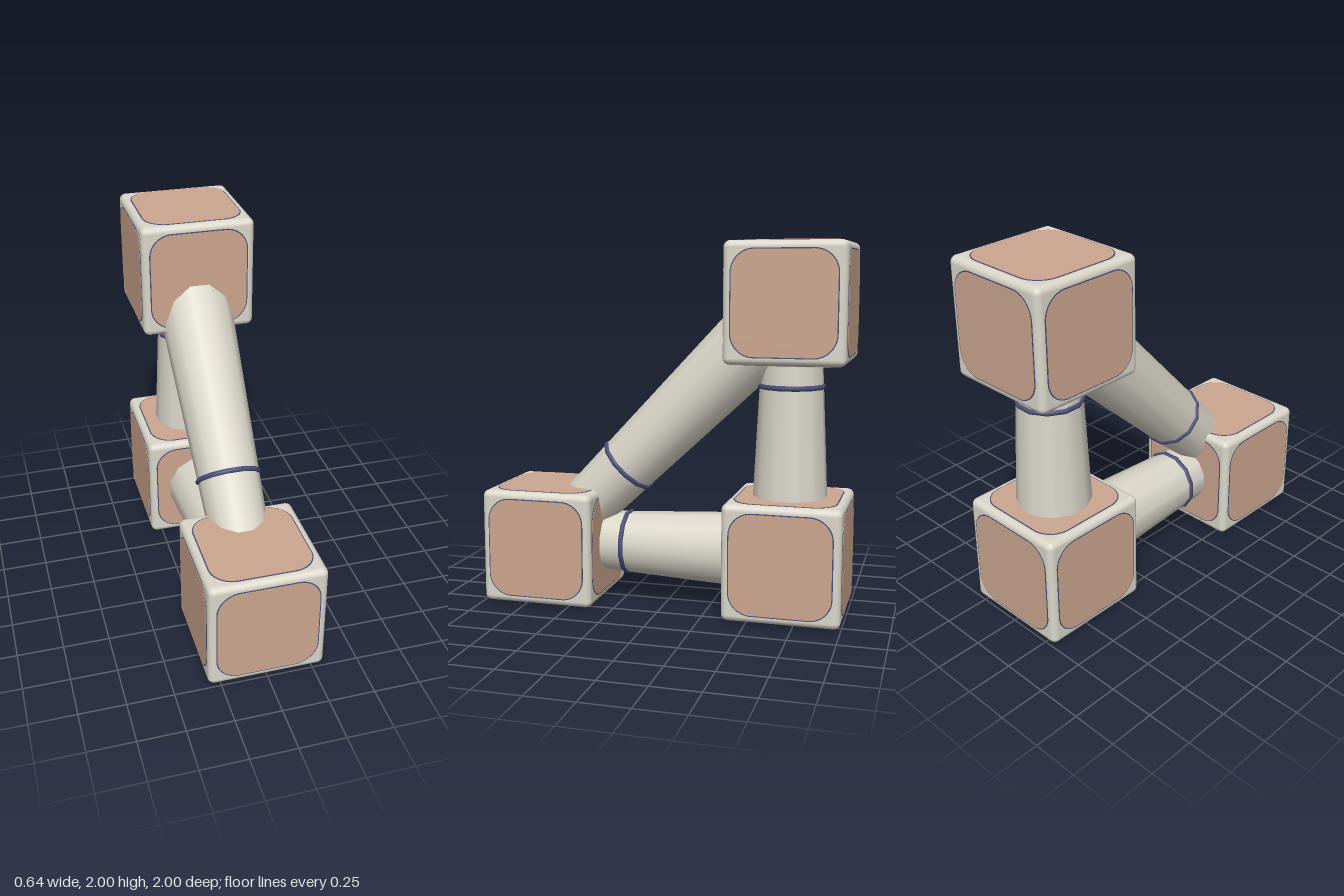
import * as THREE from 'three';
import { RoundedBoxGeometry } from 'three/addons/geometries/RoundedBoxGeometry.js';

const cream = new THREE.MeshStandardMaterial({ color: 0xdad6c9 });
cream.name = 'cream';
const tan = new THREE.MeshStandardMaterial({ color: 0xcca68f });
tan.name = 'tan';
const navy = new THREE.MeshStandardMaterial({ color: 0x4a4e78 });
navy.name = 'navy';

const HALF = 0.316; // half side of a cube body
const C = 0.68;     // cube centre offset

function add(parent, name, geometry, material) {
  const mesh = new THREE.Mesh(geometry, material);
  mesh.name = name;
  parent.add(mesh);
  return mesh;
}

// Thin rounded square plate facing +z, starting just inside the cube face
function plate(h, r, depth) {
  const s = new THREE.Shape();
  s.moveTo(-h + r, -h);
  s.lineTo(h - r, -h);
  s.absarc(h - r, -h + r, r, -Math.PI / 2, 0);
  s.absarc(h - r, h - r, r, 0, Math.PI / 2);
  s.absarc(-h + r, h - r, r, Math.PI / 2, Math.PI);
  s.absarc(-h + r, -h + r, r, Math.PI, Math.PI * 1.5);
  return new THREE.ExtrudeGeometry(s, { depth, bevelEnabled: false, curveSegments: 8 })
    .translate(0, 0, HALF - 0.003);
}

const bodyGeometry = new RoundedBoxGeometry(HALF * 2, HALF * 2, HALF * 2, 4, 0.035);
const rimGeometry = plate(0.277, 0.125, 0.005);
const panelGeometry = plate(0.271, 0.119, 0.007);

// Rounded cube with an outlined panel on each of its six sides
function makeCube(name, position) {
  const cube = new THREE.Group();
  cube.name = name;
  cube.position.copy(position);
  add(cube, 'cubeBody', bodyGeometry, cream);
  const turns = [[0, 0], [0, Math.PI / 2], [0, Math.PI], [0, -Math.PI / 2], [Math.PI / 2, 0], [-Math.PI / 2, 0]];
  for (const [rx, ry] of turns) {
    add(cube, 'panelRim', rimGeometry, navy).rotation.set(rx, ry, 0);
    add(cube, 'panel', panelGeometry, tan).rotation.set(rx, ry, 0);
  }
  return cube;
}

// Tapered twelve-sided strut, wide at the start, with a ring near the narrow end
function makeStrut(name, from, to) {
  const strut = new THREE.Group();
  strut.name = name;
  const direction = to.clone().sub(from);
  const length = direction.length();
  strut.position.copy(from).add(to).multiplyScalar(0.5);
  strut.quaternion.setFromUnitVectors(new THREE.Vector3(0, 1, 0), direction.normalize());
  const tube = new THREE.CylinderGeometry(0.15, 0.217, length, 12).rotateY(Math.PI / 12);
  add(strut, 'strutTube', tube, cream);
  const ring = new THREE.TorusGeometry(0.169, 0.015, 8, 12)
    .rotateX(Math.PI / 2).rotateY(Math.PI / 12);
  add(strut, 'strutRing', ring, navy).position.y = (0.673 - 0.5) * length;
  return strut;
}

export function createModel() {
  const model = new THREE.Group();
  model.name = 'cubeTriangle';
  const front = new THREE.Vector3(0, 0.32, C);
  const back = new THREE.Vector3(0, 0.32, -C);
  const top = new THREE.Vector3(0, 1.68, -C);
  model.add(
    makeCube('frontCube', front),
    makeCube('backCube', back),
    makeCube('topCube', top),
    makeStrut('baseStrut', back, front),
    makeStrut('uprightStrut', back, top),
    makeStrut('diagonalStrut', top, front),
  );
  return model;
}
